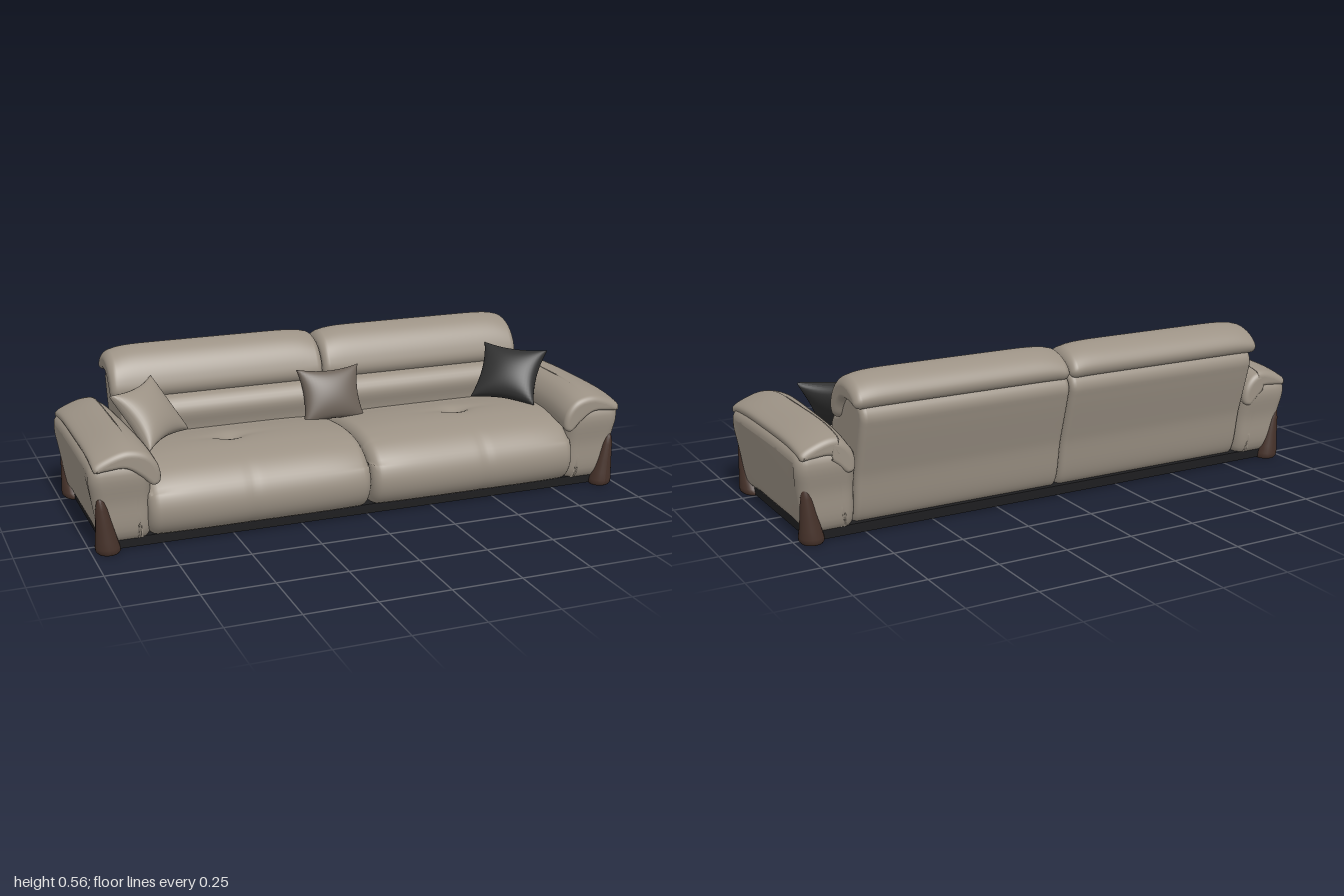
import * as THREE from 'three';

const material = (name, color) => {
  const m = new THREE.MeshStandardMaterial({ color });
  m.name = name;
  return m;
};

// Soft upholstered solid: a closed profile swept along x (profile = z,y) or z (profile = x,y),
// with ends rounded by radius r. side = -1 mirrors it in x; deform(v) shapes it further.
function softLoft({ axis, profile, from, to, r, side = 1, deform, steps = 28 }) {
  const N = 88, ROUND = 7;
  const curve = new THREE.CatmullRomCurve3(profile.map(([p, q]) => new THREE.Vector3(p, q, 0)), true);
  let pts = curve.getSpacedPoints(N).slice(0, N).map(v => new THREE.Vector2(v.x, v.y));
  if (THREE.ShapeUtils.isClockWise(pts)) pts.reverse();
  const normals = pts.map((_, i) => {
    const a = pts[(i + N - 1) % N], b = pts[(i + 1) % N];
    return new THREE.Vector2(b.y - a.y, a.x - b.x).normalize();
  });
  const rings = [];
  for (let k = 0; k <= ROUND; k++) {
    const a = (k / ROUND) * Math.PI / 2;
    rings.push([from + r * (1 - Math.cos(a)), r * (1 - Math.sin(a))]);
  }
  for (let k = 1; k < steps; k++) rings.push([from + r + (to - from - 2 * r) * k / steps, 0]);
  for (let k = ROUND; k >= 0; k--) {
    const a = (k / ROUND) * Math.PI / 2;
    rings.push([to - r * (1 - Math.cos(a)), r * (1 - Math.sin(a))]);
  }
  const pos = [], index = [], v = new THREE.Vector3();
  const flip = (axis === 'x') !== (side < 0);
  const tri = (a, b, c) => (flip ? index.push(a, c, b) : index.push(a, b, c));
  rings.forEach(([t, inset], i) => {
    pts.forEach((pt, j) => {
      const p = pt.x - normals[j].x * inset, q = pt.y - normals[j].y * inset;
      if (axis === 'x') v.set(t, q, p); else v.set(p, q, t);
      if (deform) deform(v);
      pos.push(v.x * side, v.y, v.z);
      if (i < rings.length - 1) {
        const a = i * N + j, b = i * N + (j + 1) % N;
        tri(a, b, a + N);
        tri(b, b + N, a + N);
      }
    });
  });
  const end = pts.map((pt, j) => pt.clone().addScaledVector(normals[j], -r));
  const last = (rings.length - 1) * N;
  for (const [a, b, c] of THREE.ShapeUtils.triangulateShape(end, [])) {
    tri(a, c, b);
    tri(last + a, last + b, last + c);
  }
  const g = new THREE.BufferGeometry();
  g.setAttribute('position', new THREE.Float32BufferAttribute(pos, 3));
  g.setIndex(index);
  g.computeVertexNormals();
  return g;
}

// Scatter cushion with pinched corners and a thin piped edge
function pillowGeometry(w, h, thick) {
  const g = new THREE.BoxGeometry(2, 2, 2, 22, 22, 1), p = g.attributes.position;
  for (let i = 0; i < p.count; i++) {
    const u = Math.sin(p.getX(i) * Math.PI / 2), v = Math.sin(p.getY(i) * Math.PI / 2);
    const puff = Math.pow(Math.max(0, (1 - u * u) * (1 - v * v)), 0.42);
    p.setXYZ(i,
      u * w / 2 * (1 - 0.15 * (1 - v * v)),
      v * h / 2 * (1 - 0.15 * (1 - u * u)),
      Math.sign(p.getZ(i)) * (0.003 + puff * thick / 2));
  }
  g.computeVertexNormals();
  return g;
}

export function createModel() {
  const group = new THREE.Group();
  const fabric = material('taupe upholstery', 0x9c9285);
  const brown = material('brown cushion fabric', 0x6c6259);
  const charcoal = material('charcoal cushion fabric', 0x303030);
  const wood = material('dark wood', 0x46322a);
  const black = material('black underside', 0x1d1d1f);
  const add = (name, geometry, mat) => {
    const m = new THREE.Mesh(geometry, mat);
    m.name = name;
    group.add(m);
    return m;
  };

  // Base plinth
  add('base', new THREE.BoxGeometry(1.9, 0.034, 0.59), black).position.set(0, 0.022, 0.01);

  const seatProfile = [[-0.15, 0.05], [-0.15, 0.24], [-0.05, 0.27], [0.1, 0.286], [0.2, 0.281],
    [0.29, 0.255], [0.35, 0.2], [0.37, 0.14], [0.357, 0.08], [0.32, 0.042], [0.2, 0.033], [0, 0.033]];
  const backProfile = [[-0.26, 0.035], [-0.312, 0.22], [-0.358, 0.38], [-0.366, 0.42], [-0.35, 0.455],
    [-0.3, 0.478], [-0.245, 0.475], [-0.2, 0.44], [-0.165, 0.395], [-0.115, 0.38], [-0.087, 0.335],
    [-0.1, 0.27], [-0.12, 0.12], [-0.14, 0.035]];
  const headProfile = [[-0.135, 0.41], [-0.142, 0.455], [-0.17, 0.508], [-0.212, 0.544], [-0.265, 0.558],
    [-0.32, 0.543], [-0.358, 0.512], [-0.371, 0.48], [-0.355, 0.453], [-0.305, 0.468],
    [-0.245, 0.464], [-0.215, 0.43], [-0.19, 0.39], [-0.158, 0.38]];
  const bodyProfile = [[0.305, 0.035], [0.33, 0.18], [0.343, 0.28], [0.325, 0.315], [0.2, 0.326], [-0.2, 0.326],
    [-0.305, 0.315], [-0.323, 0.28], [-0.308, 0.18], [-0.283, 0.035], [-0.15, 0.032], [0.15, 0.032]];
  const padProfile = [[0.988, 0.338], [0.94, 0.366], [0.87, 0.383], [0.805, 0.366], [0.768, 0.32], [0.765, 0.265],
    [0.79, 0.255], [0.83, 0.29], [0.88, 0.322], [0.95, 0.32], [0.985, 0.318]];

  // Tufted seat: button dimple, short cross crease and a faint front seam
  const tuft = v => {
    const e = Math.abs((v.x - 0.4) / 0.4);
    const dx = v.x - 0.44, dz = v.z - 0.08;
    if (v.y > 0.2) {
      v.y -= 0.014 * e ** 5;
      v.y -= 0.016 * Math.exp(-(dx * dx + dz * dz) / 0.0016);
      v.y -= 0.006 * Math.exp(-(dz * dz) / 0.0004 - (dx * dx) / 0.012);
    }
    if (v.z > 0.08) v.z -= 0.003 * Math.exp(-(dx * dx) / 0.0003);
    if (v.z > 0.25) v.z -= 0.012 * e ** 6;
  };
  const softenEnds = v => {
    if (v.y > 0.44) v.y -= 0.022 * Math.abs((v.x - 0.405) / 0.405) ** 10 * (v.y - 0.44) / 0.1;
  };
  const taperOut = v => {
    if (v.x > 0.85) v.x -= 0.04 * Math.max(0, 1 - v.y / 0.25);
  };
  const crownPad = v => {
    const t = (v.z - 0.015) / 0.34;
    v.y -= 0.026 * Math.abs(t) ** 4;
    if (v.x < 0.85) v.x += 0.035 * (0.35 - v.z) / 0.67;
  };

  for (const [side, label] of [[1, 'left'], [-1, 'right']]) {
    add(label + 'Seat', softLoft({ axis: 'x', profile: seatProfile, from: 0.002, to: 0.805, r: 0.035,
      side, deform: tuft, steps: 48 }), fabric);
    add(label + 'Backrest', softLoft({ axis: 'x', profile: backProfile, from: 0.002, to: 0.79, r: 0.022,
      side }), fabric);
    add(label + 'Headrest', softLoft({ axis: 'x', profile: headProfile, from: 0.002, to: 0.812, r: 0.026,
      side, deform: softenEnds }), fabric);
    add(label + 'ArmBody', softLoft({ axis: 'x', profile: bodyProfile, from: 0.79, to: 1.0, r: 0.04,
      side, deform: taperOut, steps: 10 }), fabric);
    add(label + 'ArmPad', softLoft({ axis: 'z', profile: padProfile, from: -0.327, to: 0.357, r: 0.018,
      side, deform: crownPad }), fabric);

    // Tapered legs hugging the arm corners, stretched inward at the foot
    for (const [end, outer, name] of [[1, 0.352, 'FrontLeg'], [-1, 0.32, 'BackLeg']]) {
      const outline = [[0, 0], [0.036, 0], [0.042, 0.008], [0.042, 0.022], [0.037, 0.05], [0.029, 0.1],
        [0.02, 0.16], [0.013, 0.188], [0.006, 0.197], [0, 0.198]];
      const g = new THREE.LatheGeometry(outline.map(([x, y]) => new THREE.Vector2(x, y)), 24);
      const p = g.attributes.position;
      for (let i = 0; i < p.count; i++) {
        const y = p.getY(i), low = Math.max(0, 1 - y / 0.06);
        let z = p.getZ(i) * end;
        if (z < 0) z *= 1 + 0.5 * low;
        const centre = outer - 0.042 + 0.075 * y;
        p.setXYZ(i, p.getX(i) + side * (0.943 + 0.12 * y), y, end * (centre + z));
      }
      g.computeVertexNormals();
      add(label + name, g, wood);
    }
  }

  // Scatter cushions, oriented by their width and height directions
  const cushion = (name, mat, size, centre, wide, tall) => {
    const u = new THREE.Vector3(...wide).normalize();
    const n = new THREE.Vector3().crossVectors(u, new THREE.Vector3(...tall)).normalize();
    const v = new THREE.Vector3().crossVectors(n, u);
    const m = add(name, pillowGeometry(...size), mat);
    m.quaternion.setFromRotationMatrix(new THREE.Matrix4().makeBasis(u, v, n));
    m.position.set(...centre);
  };
  cushion('rightCushion', fabric, [0.25, 0.235, 0.1], [-0.71, 0.372, 0], [0.18, 0.01, -0.165], [-0.11, 0.175, -0.095]);
  cushion('leftCushion', charcoal, [0.25, 0.235, 0.1], [0.71, 0.372, 0], [0.18, -0.01, 0.165], [0.11, 0.175, -0.095]);
  cushion('middleCushion', brown, [0.245, 0.21, 0.085], [0, 0.345, -0.07], [1, 0, 0], [0, 0.19, -0.08]);

  return group;
}
